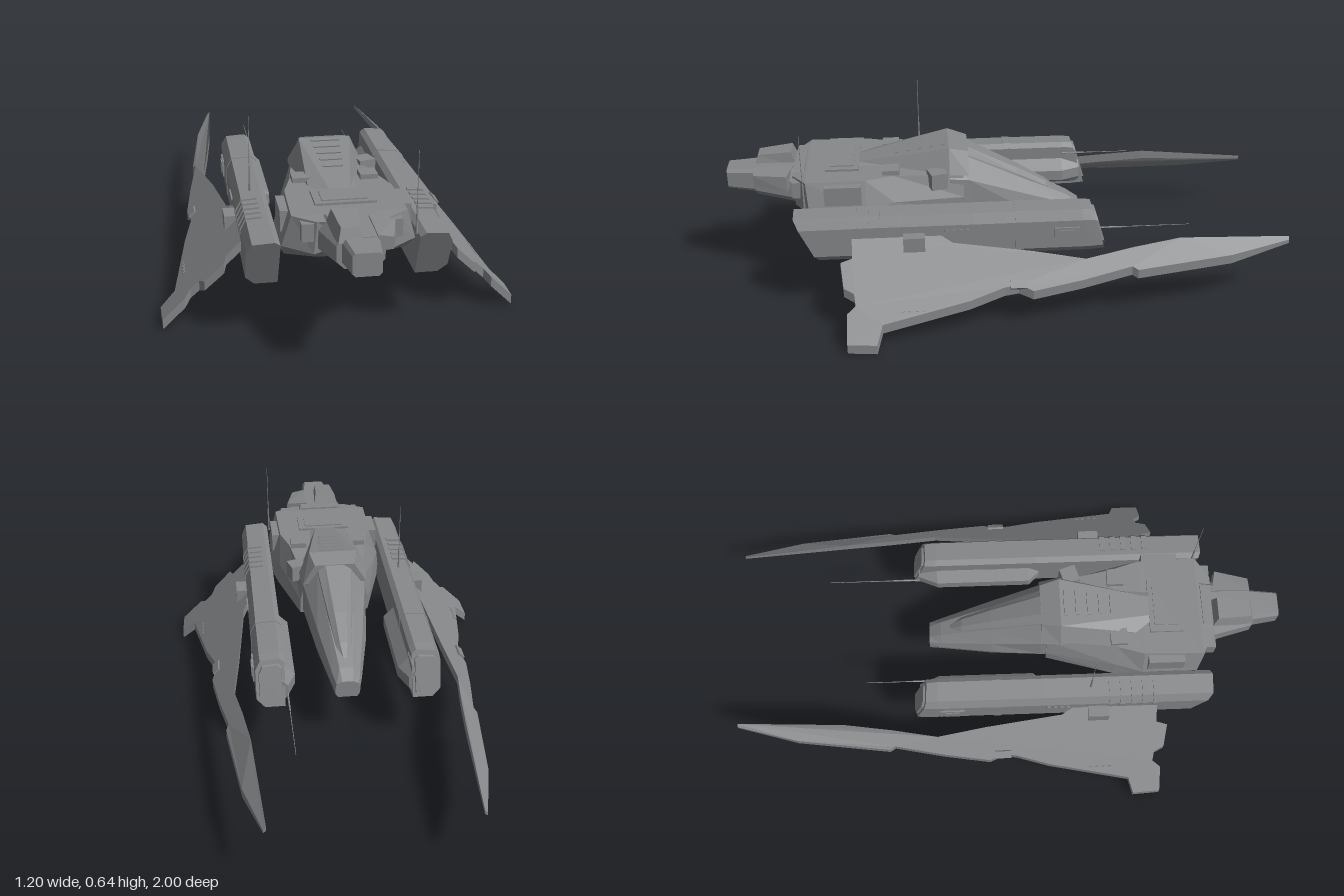
import * as THREE from 'three';

const hullGrey = new THREE.MeshStandardMaterial({ color: 0x86888a, flatShading: true });
hullGrey.name = 'hullGrey';

// Closed loft through cross-sections listed from front (+z) to back; points run counter-clockwise.
function loft(sections) {
  const pos = [];
  const tri = (a, b, c) => pos.push(...a, ...b, ...c);
  const centre = s => [0, 1, 2].map(k => s.reduce((t, p) => t + p[k], 0) / s.length);
  const n = sections[0].length;
  const first = sections[0], last = sections[sections.length - 1];
  const c0 = centre(first), c1 = centre(last);
  for (let i = 0; i < n; i++) {
    const j = (i + 1) % n;
    for (let k = 0; k + 1 < sections.length; k++) {
      const s = sections[k], t = sections[k + 1];
      tri(s[i], t[i], s[j]);
      tri(t[i], t[j], s[j]);
    }
    tri(c0, first[i], first[j]);
    tri(c1, last[j], last[i]);
  }
  const g = new THREE.BufferGeometry();
  g.setAttribute('position', new THREE.Float32BufferAttribute(pos, 3));
  g.computeVertexNormals();
  return g;
}

// Symmetric section from its +x half, listed bottom to top; a point may carry its own z.
function sym(z, half) {
  const right = half.map(p => [p[0], p[1], p[2] ?? z]);
  return [...right, ...right.map(p => [-p[0], p[1], p[2]]).reverse()];
}

// Section placed on one side of the ship.
function sided(s, pts) {
  const m = pts.map(p => [p[0] * s, p[1], p[2]]);
  return s < 0 ? m.reverse() : m;
}

export function createModel() {
  const ship = new THREE.Group();
  ship.name = 'ship';
  const add = (name, geo, parent = ship) => {
    const m = new THREE.Mesh(geo, hullGrey);
    m.name = name;
    parent.add(m);
    return m;
  };
  const box = (name, size, at, parent = ship, rx = 0) => {
    const m = add(name, new THREE.BoxGeometry(...size), parent);
    m.position.set(...at);
    m.rotation.x = rx;
    return m;
  };

  // Main hull
  add('hull', loft([
    sym(0, [[0.1, 0.285, 0.68], [0.12, 0.33, 0.755], [0.11, 0.44, 0.76]]),
    sym(0, [[0.2, 0.285, 0.64], [0.215, 0.34, 0.70], [0.185, 0.445, 0.71]]),
    sym(0.5, [[0.22, 0.285], [0.215, 0.34], [0.18, 0.445]]),
    sym(0.4, [[0.2, 0.285], [0.19, 0.36], [0.15, 0.445]]),
    sym(0.15, [[0.13, 0.285], [0.13, 0.34], [0.11, 0.42]]),
  ]));
  add('spine', loft([
    sym(0.53, [[0.1, 0.43], [0.035, 0.452]]),
    sym(0.2, [[0.13, 0.43], [0.09, 0.517]]),
    sym(0.13, [[0.12, 0.42], [0.075, 0.497]]),
  ]));

  // Drooping cockpit and its canopy
  add('cockpit', loft([
    sym(0.2, [[0.06, 0.24], [0.1, 0.245], [0.125, 0.3], [0.125, 0.41], [0.07, 0.47]]),
    sym(0.13, [[0.06, 0.225], [0.1, 0.24], [0.12, 0.3], [0.115, 0.4], [0.065, 0.47]]),
    sym(-0.05, [[0.05, 0.2], [0.085, 0.23], [0.098, 0.28], [0.085, 0.33], [0.045, 0.375]]),
    sym(-0.24, [[0.04, 0.18], [0.052, 0.205], [0.057, 0.23], [0.05, 0.255], [0.025, 0.28]]),
    sym(-0.285, [[0.035, 0.185], [0.045, 0.2], [0.045, 0.22], [0.04, 0.24], [0.02, 0.25]]),
  ]));
  add('canopy', loft([
    sym(0.14, [[0.085, 0.42], [0.065, 0.48], [0.035, 0.5]]),
    sym(-0.05, [[0.055, 0.34], [0.042, 0.383], [0.022, 0.4]]),
    sym(-0.16, [[0.033, 0.29], [0.027, 0.322], [0.014, 0.335]]),
    sym(-0.21, [[0.012, 0.27], [0.01, 0.285], [0.005, 0.293]]),
  ]));

  // Front neck and nozzle
  add('neck', loft([
    sym(0.9, [[0.05, 0.345], [0.075, 0.37], [0.075, 0.42], [0.055, 0.445]]),
    sym(0.72, [[0.075, 0.31], [0.115, 0.345], [0.115, 0.41], [0.08, 0.45]]),
  ]));
  add('frontNozzle', loft([
    sym(1.0, [[0.035, 0.365], [0.045, 0.375], [0.045, 0.43], [0.037, 0.44]]),
    sym(0.88, [[0.05, 0.35], [0.06, 0.365], [0.06, 0.43], [0.05, 0.443]]),
  ]));
  add('sensorBlock', loft([
    [[-0.07, 0.43, 0.905], [0.01, 0.43, 0.905], [0, 0.475, 0.89], [-0.06, 0.475, 0.89]],
    [[-0.085, 0.43, 0.75], [0.02, 0.43, 0.75], [0.01, 0.487, 0.77], [-0.07, 0.487, 0.77]],
  ]));
  add('sidePod', loft([
    [[0.05, 0.4, 0.9], [0.1, 0.4, 0.9], [0.1, 0.44, 0.9], [0.05, 0.45, 0.9]],
    [[0.05, 0.39, 0.76], [0.135, 0.39, 0.78], [0.13, 0.445, 0.78], [0.05, 0.455, 0.76]],
  ]));

  // Top details: hatch, slats, vents
  box('hatch', [0.2, 0.012, 0.12], [0, 0.447, 0.585]);
  box('hatchPanel', [0.15, 0.01, 0.085], [0, 0.452, 0.585]);
  for (let i = 0; i < 5; i++) {
    const z = 0.22 + i * 0.042;
    box('spineSlat', [0.1 - i * 0.008, 0.008, 0.014], [0, 0.517 - (z - 0.2) * 0.197, z], ship, 0.195);
  }
  box('roofVent', [0.075, 0.02, 0.07], [0, 0.482, 0.14], ship, -0.4);
  box('roofUnit', [0.06, 0.06, 0.06], [0.135, 0.42, 0.245]).rotation.y = 0.3;

  // Wing outline as [x, z] in plan, from the long rear tip along the outer edge and back
  const outline = [[0.335, -1], [0.345, -1], [0.4, -0.78], [0.44, -0.44], [0.43, -0.42], [0.46, -0.24],
    [0.482, -0.07], [0.465, -0.02], [0.47, 0.03], [0.5, 0.15], [0.535, 0.36], [0.55, 0.45], [0.6, 0.47],
    [0.595, 0.57], [0.52, 0.57], [0.5, 0.54], [0.47, 0.545], [0.455, 0.58], [0.39, 0.59], [0.38, 0.55],
    [0.325, 0.55], [0.325, 0.25], [0.35, 0.2], [0.38, -0.08], [0.405, -0.26], [0.38, -0.43], [0.36, -0.6]];
  const wingY = (x, z) => 0.03 + (0.587 - x) * 0.97 - Math.max(0, -z - 0.6) * 0.1;

  const profile = [[0.225, 0.2], [0.3, 0.2], [0.33, 0.23], [0.33, 0.335], [0.312, 0.37], [0.24, 0.375], [0.222, 0.36]];
  // Nacelle section, raked by k and optionally scaled about its centre
  const ring = (s, z, k, f = 1) => sided(s, profile.map(([x, y]) => {
    const py = 0.288 + (y - 0.288) * f;
    return [0.276 + (x - 0.276) * f, py, z + (py - 0.375) * k];
  }));

  for (const s of [1, -1]) {
    const side = s > 0 ? 'left' : 'right';

    // Nacelle
    const nacelle = new THREE.Group();
    nacelle.name = side + 'Nacelle';
    ship.add(nacelle);
    add('nacelleBody', loft([ring(s, 0.75, 0.46), ring(s, 0.13, 0.1), ring(s, -0.25, 0.2), ring(s, -0.29, 0.3, 0.96)]), nacelle);
    add('nacelleEndPlate', loft([ring(s, -0.285, 0.3, 0.78), ring(s, -0.298, 0.3, 0.74)]), nacelle);
    add('nacelleCollar', loft([ring(s, -0.02, 0, 1.03), ring(s, -0.05, 0, 1.03)]), nacelle);
    const bulge = (z, x, top) => sided(s, [[0.24, 0.2, z], [0.24, top, z], [x, 0.275, z], [x, 0.235, z]]);
    add('innerBulge', loft([bulge(0.14, 0.222, 0.28), bulge(0.1, 0.186, 0.33), bulge(-0.25, 0.186, 0.33), bulge(-0.32, 0.215, 0.3)]), nacelle);
    for (let i = 0; i < 5; i++) {
      const z = 0.38 + i * 0.04;
      const r = [[0.26, 0.34], [0.334, 0.32], [0.334, 0.338], [0.314, 0.376], [0.26, 0.379]];
      add('nacelleRib', loft([z + 0.01, z - 0.01].map(q => sided(s, r.map(p => [...p, q])))), nacelle);
    }
    box('nacelleVent', [0.02, 0.06, 0.09], [s * 0.326, 0.28, -0.2], nacelle);
    box('nacelleVentCover', [0.025, 0.04, 0.05], [s * 0.327, 0.28, -0.2], nacelle);
    for (let i = 0; i < 4; i++) {
      const rivet = add('nacellePort', new THREE.CylinderGeometry(0.008, 0.008, 0.008, 8), nacelle);
      rivet.rotation.z = Math.PI / 2;
      rivet.position.set(s * 0.331, 0.312, 0.15 + i * 0.024);
    }

    // Swept wing sloping down and outward
    const shape = new THREE.Shape(outline.map(([x, z]) => new THREE.Vector2(x * s, -z)));
    const g = new THREE.ExtrudeGeometry(shape, { depth: 0.034, bevelEnabled: false });
    g.rotateX(-Math.PI / 2);
    const p = g.attributes.position;
    for (let i = 0; i < p.count; i++) {
      const thin = p.getZ(i) < -0.9 ? 0.4 : 1;
      p.setY(i, (p.getY(i) - 0.017) * thin + wingY(Math.abs(p.getX(i)), p.getZ(i)));
    }
    g.computeVertexNormals();
    add(side + 'Wing', g);
    box('wingStrut', [0.045, 0.06, 0.075], [s * 0.348, 0.28, 0.335]);
    box('wingBracket', [0.06, 0.04, 0.16], [s * 0.36, 0.225, 0.4]).rotation.z = -s * 0.77;
    box('wingBump', [0.03, 0.04, 0.06], [s * 0.455, wingY(0.455, 0), -0.02]).rotation.z = -s * 0.77;
    for (let i = 0; i < 4; i++) {
      const z = 0.31 + i * 0.024;
      const port = add('wingPort', new THREE.CylinderGeometry(0.008, 0.008, 0.03, 8));
      port.rotation.z = -s * 0.77;
      port.position.set(s * 0.507, wingY(0.507, z), z);
    }

    // Hull side fittings
    box('hullSideBox', [0.035, 0.07, 0.13], [s * 0.195, 0.4, 0.58]);
    box('shoulderUnit', [0.06, 0.05, 0.06], [s * 0.115, 0.437, 0.41]);
    box('cheekPlate', [0.04, 0.06, 0.04], [s * 0.14, 0.405, 0.74]);
  }

  // Antennas: two upright, two trailing
  const antenna = (name, x, y, z, length, trailing) => {
    const a = new THREE.Group();
    a.name = name;
    add('mast', new THREE.CylinderGeometry(0.001, 0.002, length, 6), a).position.y = length / 2;
    add('mastBase', new THREE.CylinderGeometry(0.003, 0.004, length * 0.35, 6), a).position.y = length * 0.175;
    a.position.set(x, y, z);
    if (trailing) a.rotation.x = -Math.PI / 2;
    ship.add(a);
  };
  antenna('rightMast', -0.275, 0.37, 0.305, 0.27, false);
  antenna('leftMast', 0.215, 0.36, 0.715, 0.28, false);
  antenna('rightTrailingAntenna', -0.222, 0.335, -0.25, 0.26, true);
  antenna('leftTrailingAntenna', 0.217, 0.24, -0.29, 0.375, true);

  return ship;
}
